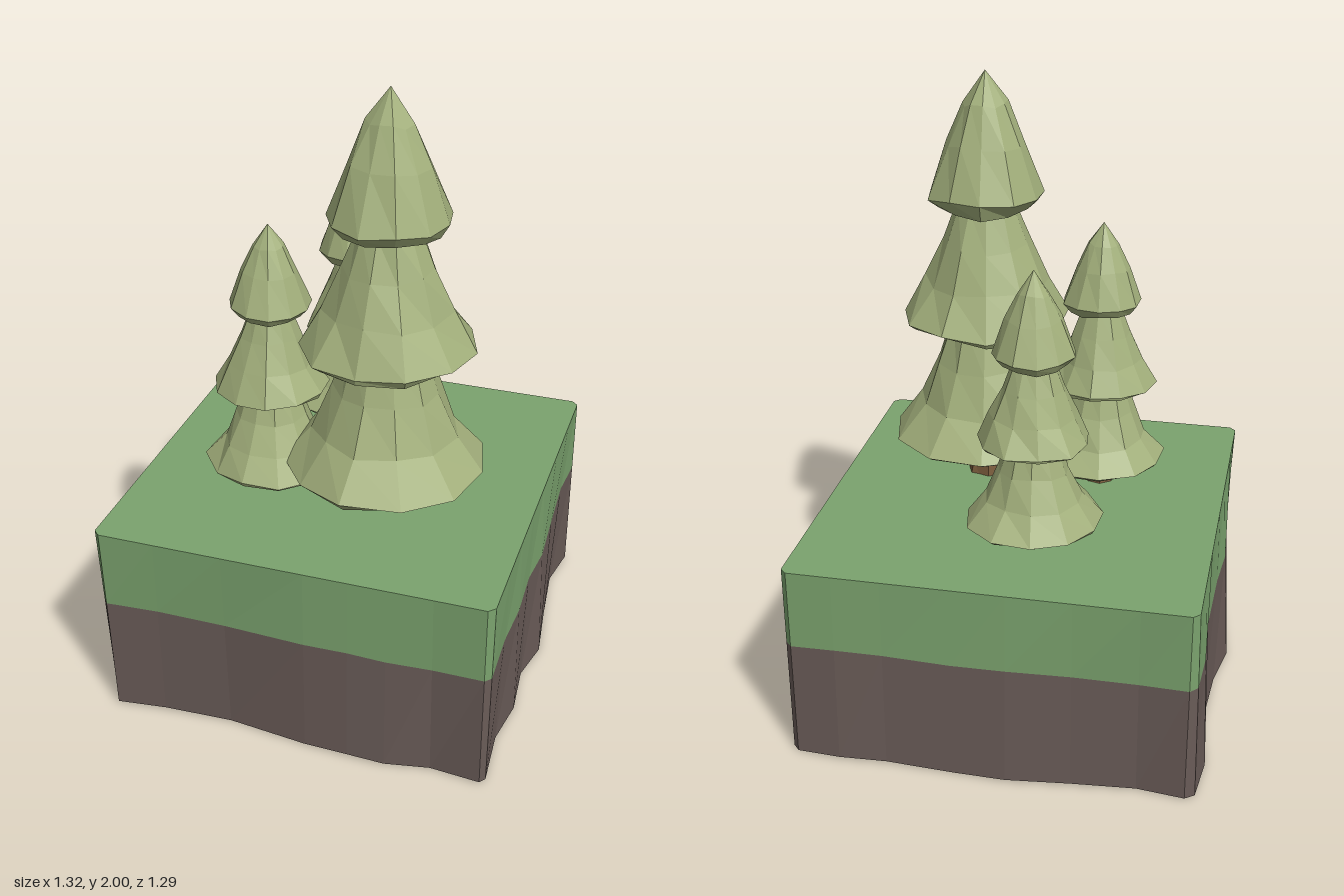
import * as THREE from 'three';

const material = (color, side = THREE.FrontSide) =>
  new THREE.MeshStandardMaterial({ color, side, flatShading: true });

const LEAF = material(0xa3b07c);
const BARK = material(0x7a5c3c);
const GRASS = material(0x7ba36e, THREE.DoubleSide);
const SOIL = material(0x6a5c58, THREE.DoubleSide);

const GROUND_Y = 0.65;
const SOIL_Y = 0.39;

// small seeded generator, returns -1..1
function seeded(seed) {
  let s = seed;
  return () => {
    s = (s * 16807) % 2147483647;
    return (s / 2147483647) * 2 - 1;
  };
}

function addMesh(parent, name, geometry, mat) {
  const mesh = new THREE.Mesh(geometry, mat);
  mesh.name = name;
  parent.add(mesh);
  return mesh;
}

// Faceted lathe whose rings are made slightly uneven
function roughLathe(profile, sides, rand, rough) {
  const n = profile.length;
  const geo = new THREE.LatheGeometry(profile.map(([r, y]) => new THREE.Vector2(r, y)), sides);
  const pos = geo.attributes.position;
  const twist = rand() * 3;
  const jitter = Array.from({ length: sides * n }, () => [1 + rand() * rough, rand() * rough * 0.2]);
  for (let i = 0; i <= sides; i++) {
    for (let j = 0; j < n; j++) {
      const r = profile[j][0];
      const [scale, lift] = jitter[(i % sides) * n + j];
      const a = ((i % sides) / sides) * Math.PI * 2 + twist;
      pos.setXYZ(i * n + j, Math.sin(a) * r * scale, profile[j][1] + (r > 0 ? lift : 0), Math.cos(a) * r * scale);
    }
  }
  geo.computeVertexNormals();
  return geo;
}

// Profiles from underside to tip, as [radius, height]
const TIERS = [
  ['lowerFoliage', [[0, 0.85], [0.18, 0.82], [0.29, 0.795], [0.315, 0.81], [0.225, 0.92], [0.165, 1.06], [0.12, 1.2], [0, 1.26]]],
  ['middleFoliage', [[0, 1.25], [0.16, 1.22], [0.24, 1.19], [0.262, 1.205], [0.195, 1.33], [0.14, 1.46], [0.095, 1.58], [0, 1.63]]],
  ['topFoliage', [[0, 1.6], [0.155, 1.575], [0.187, 1.615], [0.125, 1.78], [0.07, 1.9], [0, 2]]],
];
const TRUNK = [[0, 0.6], [0.085, 0.6], [0.068, 0.68], [0.055, 0.78], [0.05, 0.9], [0, 0.9]];

function makeTree(name, x, z, scale, seed) {
  const tree = new THREE.Group();
  tree.name = name;
  const rand = seeded(seed);
  for (const [part, profile] of TIERS) {
    addMesh(tree, part, roughLathe(profile, 11, rand, 0.045), LEAF);
  }
  addMesh(tree, 'trunk', roughLathe(TRUNK, 7, rand, 0.06), BARK);
  // keep the tip height in proportion while the base stays in the ground
  tree.scale.setScalar(scale);
  tree.position.set(x, (1 - scale) * 0.61, z);
  return tree;
}

// Wavy lower outline of each wall, as [position along wall, distance out]
const FRONT = [[-0.6, 0.635], [-0.42, 0.62], [-0.2, 0.605], [0.06, 0.635], [0.2, 0.645], [0.32, 0.645], [0.46, 0.615], [0.62, 0.635]];
const RIGHT = [[0.615, 0.635], [0.42, 0.62], [0.27, 0.645], [0.1, 0.63], [-0.05, 0.66], [-0.25, 0.635], [-0.45, 0.615], [-0.61, 0.64]];
const BACK = [[0.62, 0.63], [0.48, 0.645], [0.33, 0.635], [0.12, 0.64], [-0.05, 0.65], [-0.25, 0.63], [-0.45, 0.605], [-0.6, 0.625]];
const LEFT = [[-0.61, 0.63], [-0.45, 0.645], [-0.25, 0.615], [0, 0.63], [0.17, 0.66], [0.42, 0.62], [0.54, 0.6], [0.615, 0.59]];

// Matching [x, z] for the straight top edge and the wavy bottom edge
const OUTLINE = [
  ...FRONT.map(([a, o]) => ({ top: [a, 0.635], bottom: [a, o] })),
  ...RIGHT.map(([a, o]) => ({ top: [0.64, a], bottom: [o, a] })),
  ...BACK.map(([a, o]) => ({ top: [a, -0.63], bottom: [a, -o] })),
  ...LEFT.map(([a, o]) => ({ top: [-0.62, a], bottom: [-o, a] })),
];
OUTLINE[0].bottom = [-0.58, 0.635];

// Open band of wall between two heights
function wallBand(yHigh, yLow) {
  const vertices = [];
  const index = [];
  const n = OUTLINE.length;
  OUTLINE.forEach(({ top, bottom }, i) => {
    for (const y of [yHigh, yLow]) {
      const t = 1 - y / GROUND_Y;
      const wave = y < GROUND_Y ? Math.sin(i * 1.9) * 0.004 + 0.004 : 0;
      vertices.push(
        THREE.MathUtils.lerp(top[0], bottom[0], t), y + wave,
        THREE.MathUtils.lerp(top[1], bottom[1], t));
    }
    const a = i * 2;
    const b = ((i + 1) % n) * 2;
    index.push(a, a + 1, b, b, a + 1, b + 1);
  });
  const geo = new THREE.BufferGeometry();
  geo.setAttribute('position', new THREE.Float32BufferAttribute(vertices, 3));
  geo.setIndex(index);
  geo.computeVertexNormals();
  return geo;
}

export function createModel() {
  const model = new THREE.Group();
  model.name = 'forestBlock';

  // Hollow block of ground, open underneath
  const ground = new THREE.Group();
  ground.name = 'ground';
  const lawn = new THREE.Shape(OUTLINE.map(({ top }) => new THREE.Vector2(top[0], -top[1])));
  const lawnGeo = new THREE.ShapeGeometry(lawn).rotateX(-Math.PI / 2).translate(0, GROUND_Y, 0);
  addMesh(ground, 'grassTop', lawnGeo, GRASS);
  addMesh(ground, 'grassWall', wallBand(GROUND_Y, SOIL_Y), GRASS);
  addMesh(ground, 'soilWall', wallBand(SOIL_Y, 0), SOIL);
  model.add(ground);

  // Three conifers
  model.add(
    makeTree('tallTree', 0.175, 0.17, 1, 11),
    makeTree('smallFrontTree', -0.2, 0.17, 0.67, 47),
    makeTree('smallBackTree', -0.07, -0.3, 0.67, 83));
  return model;
}
